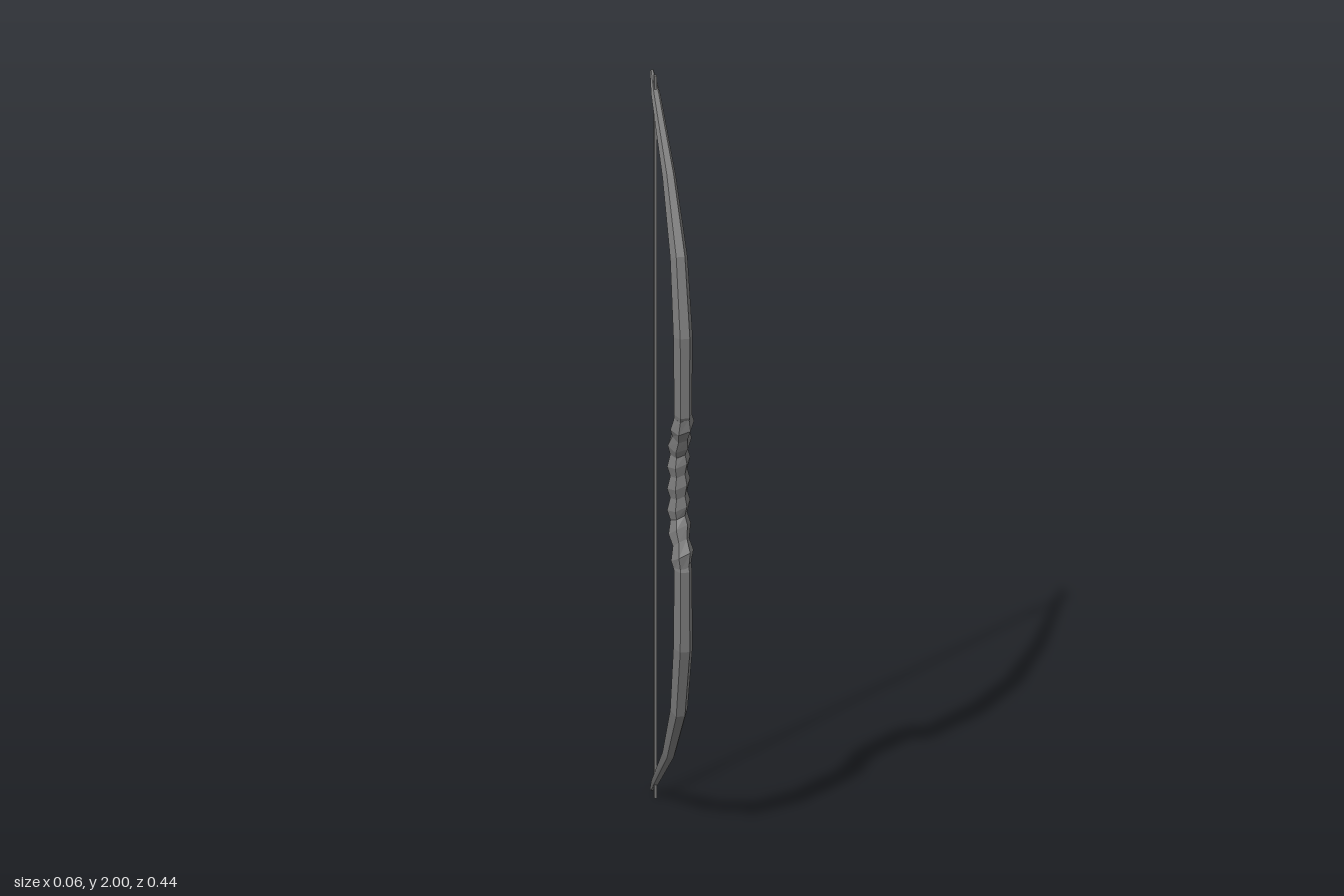
import * as THREE from 'three';

const SIDES = 6;

// Lofts a closed hexagonal bar through stations { y, z, w, d }:
// w = half width in x, d = half depth in the bending plane, tilt = sideways slant of rings
function loft(stations, tilt = 0) {
  const rings = stations.map((s, i) => {
    const a = stations[Math.max(i - 1, 0)];
    const b = stations[Math.min(i + 1, stations.length - 1)];
    const len = Math.hypot(b.y - a.y, b.z - a.z);
    const ty = (b.y - a.y) / len, tz = (b.z - a.z) / len;
    return Array.from({ length: SIDES }, (_, j) => {
      const ang = (j / SIDES) * Math.PI * 2;
      const x = s.w * Math.cos(ang);
      const n = (s.d / Math.cos(Math.PI / SIDES)) * Math.sin(ang);
      return [x, s.y - tz * n + ty * tilt * x, s.z + ty * n + tz * tilt * x];
    });
  });
  const pos = [];
  const tri = (a, b, c) => pos.push(...a, ...b, ...c);
  for (let i = 0; i < rings.length - 1; i++) {
    for (let j = 0; j < SIDES; j++) {
      const k = (j + 1) % SIDES;
      const [p, q] = [rings[i], rings[i + 1]];
      tri(p[j], q[j], p[k]);
      tri(p[k], q[j], q[k]);
    }
  }
  // End caps
  const first = rings[0], last = rings[rings.length - 1];
  for (let j = 1; j < SIDES - 1; j++) {
    tri(first[0], first[j], first[j + 1]);
    tri(last[0], last[j + 1], last[j]);
  }
  const g = new THREE.BufferGeometry();
  g.setAttribute('position', new THREE.Float32BufferAttribute(pos, 3));
  g.computeVertexNormals();
  return g;
}

export function createModel() {
  const group = new THREE.Group();
  const mat = new THREE.MeshStandardMaterial({ color: 0x7a7a7a, flatShading: true });
  const add = (name, geo) => {
    const mesh = new THREE.Mesh(geo, mat);
    mesh.name = name;
    group.add(mesh);
    return mesh;
  };

  // Limb stations from the grip out to the tip; h = height above the middle
  const limb = [
    [0.185, 0.178, 0.022, 0.024],
    [0.215, 0.193, 0.023, 0.027],
    [0.43, 0.193, 0.025, 0.027],
    [0.625, 0.139, 0.0225, 0.025],
    [0.795, 0.013, 0.0175, 0.018],
    [0.95, -0.163, 0.012, 0.009],
    [0.994, -0.215, 0.005, 0.005],
  ].map(([h, z, w, d]) => ({ h, z, w, d }));
  add('upperLimb', loft(limb.map((s) => ({ ...s, y: 1 + s.h }))));
  add('lowerLimb', loft(limb.map((s) => ({ ...s, y: 1 - s.h })).reverse()));

  // Wrapped grip: alternating slanted ridges and valleys along the recessed handle
  const gripZ = (y) => 0.137 + 0.052 * THREE.MathUtils.smoothstep(Math.abs(y - 1), 0.08, 0.205);
  const RIDGES = 7;
  const grip = [];
  for (let i = 0; i <= RIDGES * 2; i++) {
    const y = 0.79 + (0.42 * i) / (RIDGES * 2);
    const ridge = i % 2 === 1;
    grip.push({ y, z: gripZ(y), w: ridge ? 0.03 : 0.022, d: ridge ? 0.032 : 0.027 });
  }
  add('grip', loft(grip, 0.4));

  // Bowstring: a thin flat-sided cord
  add('string', new THREE.BoxGeometry(0.007, 2, 0.01)).position.set(0, 1, -0.17);

  return group;
}
